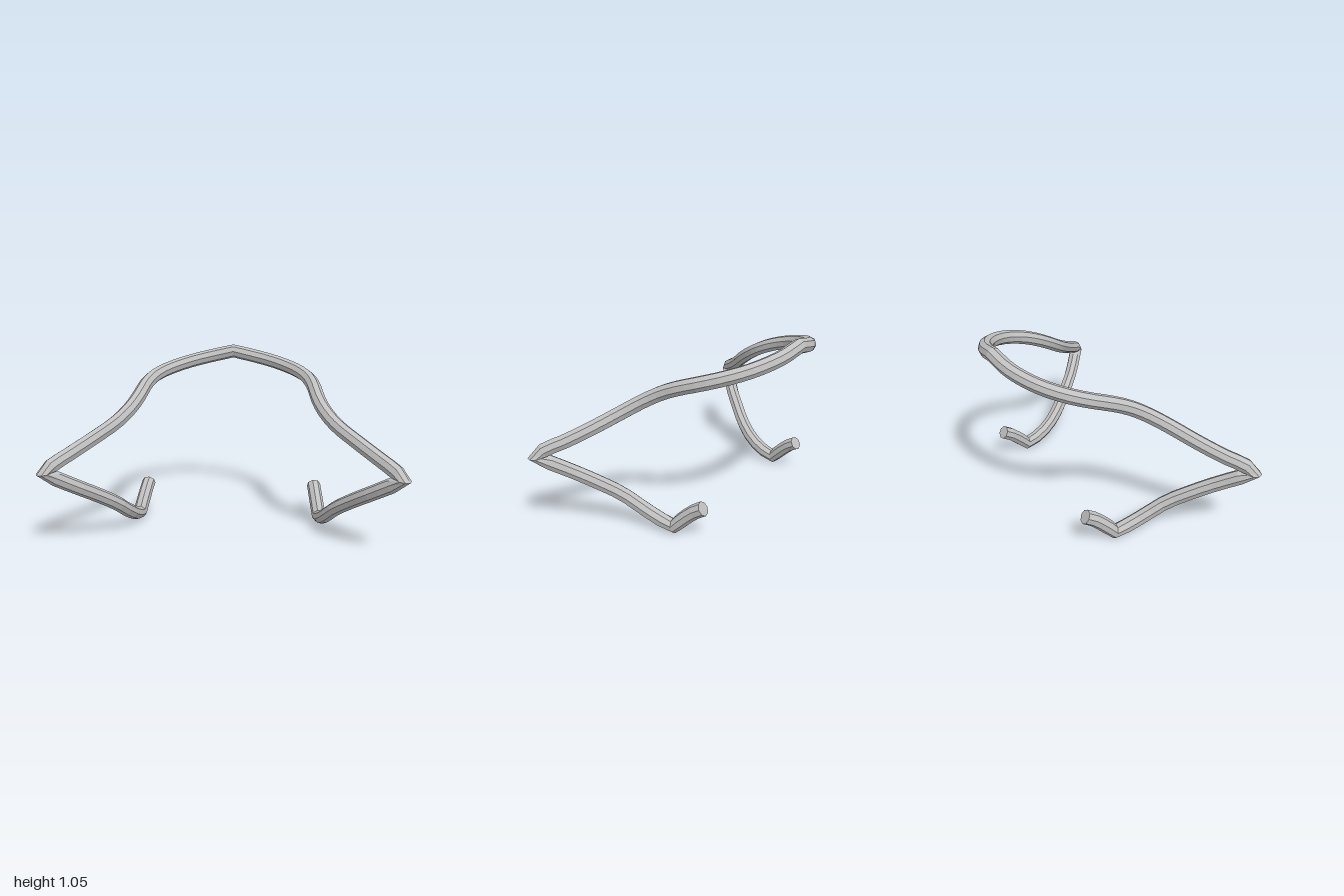
import * as THREE from 'three';

const RADIUS = 0.042;
const SIDES = 8;

// Centre line of one half: three smooth stretches that meet at sharp bends
const STRETCHES = [
  { // rear apex, over the shoulder, down to the front corner
    rings: 28,
    points: [
      [0, 1.01, -0.527], [0.14, 0.98, -0.508], [0.25, 0.956, -0.467], [0.35, 0.93, -0.402],
      [0.435, 0.902, -0.31], [0.486, 0.873, -0.21], [0.512, 0.838, -0.1], [0.528, 0.796, 0],
      [0.562, 0.74, 0.1], [0.628, 0.674, 0.2], [0.733, 0.605, 0.3], [0.845, 0.537, 0.41],
      [0.922, 0.491, 0.497], [0.957, 0.455, 0.529],
    ],
  },
  { // front corner, back down to the lowest bend
    rings: 11,
    points: [
      [0.957, 0.455, 0.529], [0.81, 0.343, 0.4], [0.722, 0.268, 0.3], [0.642, 0.19, 0.2],
      [0.595, 0.114, 0.1], [0.571, 0.063, 0], [0.56, 0.041, -0.088],
    ],
  },
  { // upturned hook
    rings: 4,
    points: [
      [0.56, 0.041, -0.088], [0.548, 0.104, -0.152], [0.538, 0.157, -0.213], [0.532, 0.189, -0.267],
    ],
  },
];

const PATH = STRETCHES.flatMap(({ rings, points }, i) => {
  const curve = new THREE.CatmullRomCurve3(points.map((p) => new THREE.Vector3(...p)));
  return curve.getSpacedPoints(rings).slice(i === 0 ? 0 : 1);
});

// Sweeps an octagon along the path; side = -1 gives the mirrored half
function halfTube(side) {
  const n = PATH.length;
  const dir = (i) => PATH[i + 1].clone().sub(PATH[i]).normalize();
  const normal = new THREE.Vector3(0, 1, 0);
  let last = new THREE.Vector3(1, 0, 0);
  const positions = [];
  const index = [];

  for (let i = 0; i < n; i++) {
    // Each ring faces the mean of its two neighbouring directions
    const tangent = i === 0 ? last.clone()
      : i === n - 1 ? dir(n - 2) : dir(i - 1).add(dir(i)).normalize();
    normal.applyQuaternion(new THREE.Quaternion().setFromUnitVectors(last, tangent));
    const binormal = new THREE.Vector3().crossVectors(tangent, normal);
    for (let j = 0; j < SIDES; j++) {
      const a = (j / SIDES) * Math.PI * 2;
      const p = PATH[i].clone()
        .addScaledVector(normal, Math.cos(a) * RADIUS)
        .addScaledVector(binormal, Math.sin(a) * RADIUS);
      positions.push(p.x * side, p.y, p.z);
    }
    last = tangent;
  }

  const face = (a, b, c) => index.push(...(side > 0 ? [a, b, c] : [a, c, b]));
  for (let i = 0; i < n - 1; i++) {
    for (let j = 0; j < SIDES; j++) {
      const a = i * SIDES + j;
      const b = i * SIDES + (j + 1) % SIDES;
      face(a, b, b + SIDES);
      face(a, b + SIDES, a + SIDES);
    }
  }
  // Flat cap on the hook tip
  const end = (n - 1) * SIDES;
  for (let j = 1; j < SIDES - 1; j++) face(end, end + j, end + j + 1);

  const indexed = new THREE.BufferGeometry();
  indexed.setAttribute('position', new THREE.Float32BufferAttribute(positions, 3));
  indexed.setIndex(index);
  const geometry = indexed.toNonIndexed();
  geometry.computeVertexNormals();
  return geometry;
}

export function createModel() {
  const model = new THREE.Group();
  model.name = 'bentTubeFrame';
  const greyMetal = new THREE.MeshStandardMaterial({ color: 0xc0c0c0 });
  greyMetal.name = 'light grey metal';

  for (const [name, side] of [['leftTube', 1], ['rightTube', -1]]) {
    const tube = new THREE.Mesh(halfTube(side), greyMetal);
    tube.name = name;
    model.add(tube);
  }
  return model;
}
